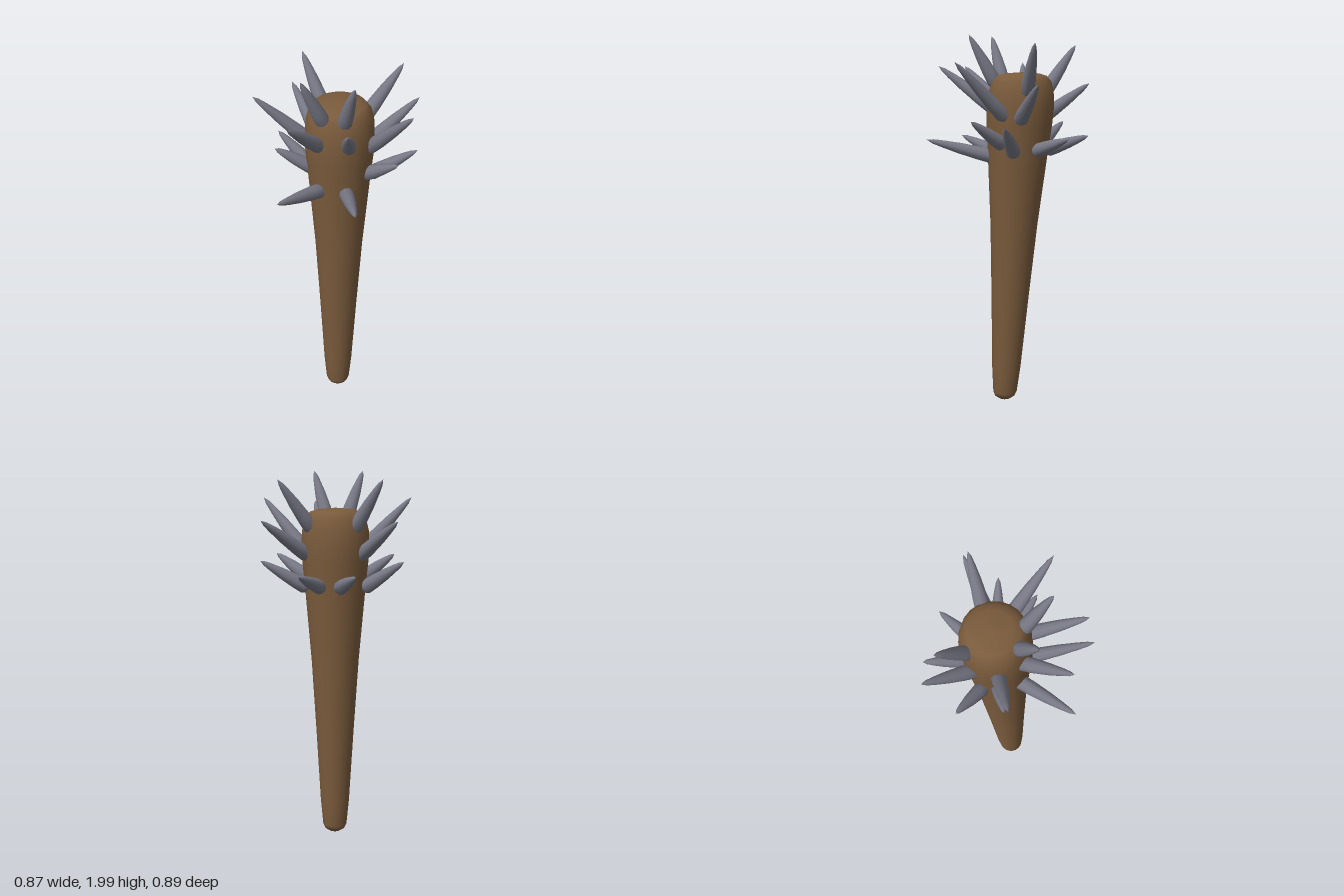
import * as THREE from 'three';

const wood = new THREE.MeshStandardMaterial({ color: 0x7a5b3c });
wood.name = 'wood brown';
const steel = new THREE.MeshStandardMaterial({ color: 0x777885 });
steel.name = 'spike grey';

const lathe = (points, sides) =>
  new THREE.LatheGeometry(points.map(([r, y]) => new THREE.Vector2(r, y)), sides);

// Tapered, slightly leaning club with a rounded head and butt
function makeClub() {
  const geo = lathe([
    [0, 0.01], [0.03, 0.02], [0.056, 0.038], [0.065, 0.06], [0.078, 0.2], [0.101, 0.6],
    [0.126, 1.0], [0.16, 1.4], [0.173, 1.53], [0.177, 1.61], [0.173, 1.69],
    [0.157, 1.755], [0.13, 1.786], [0.09, 1.798], [0, 1.805],
  ], 20);
  const p = geo.attributes.position;
  for (let i = 0; i < p.count; i++) {
    const t = p.getY(i) / 1.65;
    p.setX(i, p.getX(i) - 0.05 + 0.053 * t);
    p.setZ(i, p.getZ(i) + 0.045 - 0.075 * t);
  }
  geo.computeBoundingSphere();
  const club = new THREE.Mesh(geo, wood);
  club.name = 'club';
  return club;
}

// Spike of unit length along +y, swelling a little before its point
const spikeGeometry = lathe([
  [0, -0.08], [0.028, -0.07], [0.038, 0], [0.036, 0.2], [0.029, 0.5],
  [0.019, 0.76], [0.012, 0.9], [0, 1],
], 10);

function makeSpike(base, tip) {
  const a = new THREE.Vector3(...base);
  const dir = new THREE.Vector3(...tip).sub(a);
  const spike = new THREE.Mesh(spikeGeometry, steel);
  spike.position.copy(a);
  spike.scale.y = dir.length();
  spike.quaternion.setFromUnitVectors(new THREE.Vector3(0, 1, 0), dir.normalize());
  return spike;
}

// Base and tip of every spike, tier by tier
const tiers = {
  topSpike: [
    [[-0.035, 1.755, 0.1], [-0.05, 1.995, 0.233]],
    [[-0.12, 1.755, 0.03], [-0.245, 1.995, 0.056]],
    [[0.155, 1.71, -0.02], [0.34, 1.947, 0]],
    [[-0.015, 1.71, -0.18], [-0.048, 1.947, -0.354]],
  ],
  middleSpike: [
    [[0.11, 1.59, 0.1], [0.188, 1.855, 0.366]],
    [[-0.025, 1.63, 0.125], [-0.157, 1.836, 0.371]],
    [[-0.15, 1.63, 0.04], [-0.37, 1.836, 0.177]],
    [[-0.145, 1.6, -0.09], [-0.398, 1.857, -0.167]],
    [[0.16, 1.57, 0.015], [0.433, 1.746, 0.013]],
    [[-0.055, 1.57, -0.18], [-0.07, 1.744, -0.444]],
  ],
  lowerSpike: [
    [[-0.14, 1.365, 0.035], [-0.437, 1.452, 0.18]],
    [[-0.035, 1.365, 0.115], [-0.15, 1.452, 0.442]],
    [[0.145, 1.4, 0.05], [0.347, 1.535, 0.157]],
    [[-0.1, 1.4, -0.16], [-0.2, 1.535, -0.342]],
    [[0.07, 1.405, -0.165], [0.13, 1.475, -0.364]],
    [[0.14, 1.405, -0.08], [0.338, 1.475, -0.177]],
    [[0.09, 1.44, 0.1], [0.165, 1.56, 0.28]],
    [[-0.135, 1.44, -0.085], [-0.306, 1.56, -0.14]],
  ],
};

export function createModel() {
  const model = new THREE.Group();
  model.name = 'spikedClub';
  model.add(makeClub());
  for (const [name, list] of Object.entries(tiers)) {
    list.forEach(([base, tip], i) => {
      const spike = makeSpike(base, tip);
      spike.name = `${name}${i + 1}`;
      model.add(spike);
    });
  }
  return model;
}
